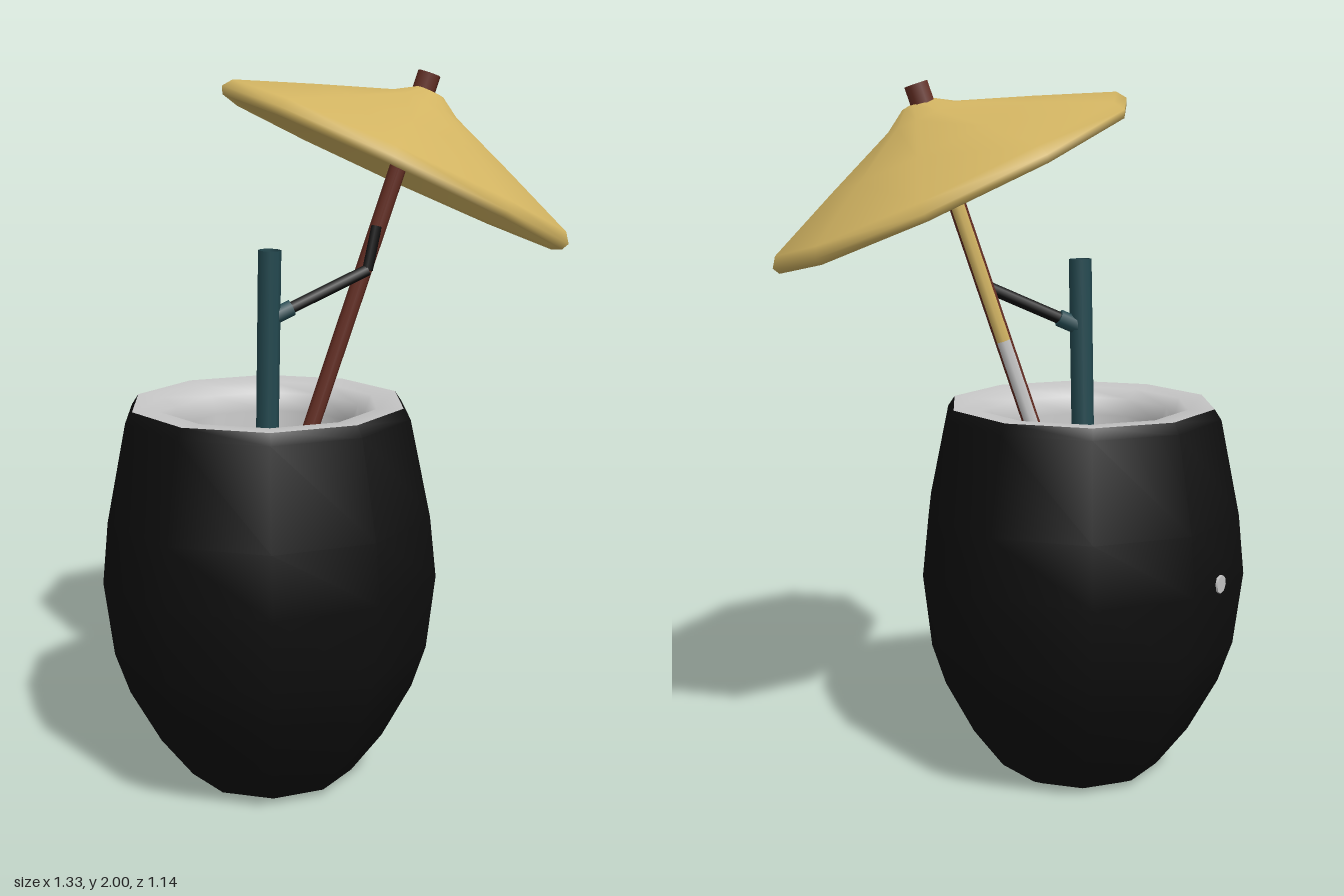
import * as THREE from 'three';

const mat = (name, color, side = THREE.FrontSide) => {
  const m = new THREE.MeshStandardMaterial({ color, side });
  m.name = name;
  return m;
};
const V = (x, y, z) => new THREE.Vector3(x, y, z);
const UP = V(0, 1, 0);
const DEG = Math.PI / 180;

export function createModel() {
  const husk = mat('black husk', 0x0e0e0e);
  const flesh = mat('pale flesh', 0xc6c6c6, THREE.DoubleSide);
  const paper = mat('yellow paper', 0xd2b462, THREE.DoubleSide);
  const wood = mat('red brown wood', 0x662f24, THREE.DoubleSide);
  const teal = mat('dark teal', 0x244a51, THREE.DoubleSide);

  const model = new THREE.Group();
  model.name = 'coconutDrink';

  const add = (parent, name, geometry, material) => {
    const mesh = new THREE.Mesh(geometry, material);
    mesh.name = name;
    parent.add(mesh);
    return mesh;
  };
  const lathe = (points, phase) => new THREE.LatheGeometry(
    points.map(([r, y]) => new THREE.Vector2(r, y)), 10, phase * DEG, Math.PI * 2);
  // Straight rod between two points; start and sweep allow a partial wall
  const rod = (name, a, b, r, material, sides = 8, open = false, start = 0, sweep = Math.PI * 2) => {
    const g = new THREE.CylinderGeometry(r, r, a.distanceTo(b), sides, 1, open, start, sweep);
    const mesh = add(model, name, g, material);
    mesh.position.copy(a).add(b).multiplyScalar(0.5);
    mesh.quaternion.setFromUnitVectors(UP, b.clone().sub(a).normalize());
    return mesh;
  };

  // Coconut: ten-sided husk, pale rim and hollow
  const coconut = new THREE.Group();
  coconut.name = 'coconut';
  coconut.position.set(-0.19, 0, -0.1);
  model.add(coconut);
  add(coconut, 'husk', lathe([
    [0, 0], [0.2, 0], [0.24, 0.02], [0.33, 0.14], [0.415, 0.3], [0.455, 0.42],
    [0.48, 0.63], [0.462, 0.8], [0.405, 1.07], [0.385, 1.1],
  ], -10), husk);
  add(coconut, 'fleshRim', lathe([
    [0.385, 1.1], [0.31, 1.095], [0.27, 1.07], [0.25, 1.02], [0.255, 0.94],
    [0.23, 0.84], [0.15, 0.79], [0, 0.78],
  ], -10), flesh);

  // Small pale spot on the back face of the husk
  const a = -98 * DEG;
  const out = V(Math.cos(a), 0, Math.sin(a));
  const spot = add(coconut, 'paleSpot', new THREE.CylinderGeometry(0.026, 0.026, 0.008, 8), flesh);
  spot.position.copy(out).multiplyScalar(0.458).setY(0.635);
  spot.quaternion.setFromUnitVectors(UP, out);

  // Umbrella canopy, tilted a little more than its stick
  const canopy = add(model, 'umbrellaCanopy', lathe([
    [0.02, 0.19], [0.3, 0.075], [0.5, -0.008], [0.525, -0.015], [0.535, 0.005],
    [0.515, 0.032], [0.3, 0.118], [0.1, 0.195], [0.04, 0.232], [0, 0.236],
  ], 90), paper);
  canopy.position.set(0.157, 1.725, 0.07);
  canopy.quaternion.setFromUnitVectors(UP, V(0.36, 1, 0.29).normalize());

  // Stick: wood with one side striped pale below and yellow above
  const at = (y) => V(0.02 + (y - 1.1) * 0.25, y, -0.08 + (y - 1.1) * 0.225);
  const wide = 100 * DEG;
  const first = 135 * DEG - wide / 2;
  rod('stickWood', at(0.78), at(1.93), 0.024, wood, 6, true, first + wide, Math.PI * 2 - wide);
  rod('stickPaleStripe', at(0.78), at(1.3), 0.024, flesh, 2, true, first, wide);
  rod('stickYellowStripe', at(1.3), at(1.93), 0.024, paper, 2, true, first, wide);
  rod('stickTip', at(1.89), at(1.987), 0.033, wood, 7);

  // Straw: open tube with a dark bore
  const strawTop = V(-0.157, 1.515, -0.118);
  const strawBase = V(-0.153, 0.78, -0.145);
  rod('straw', strawBase, strawTop, 0.032, teal, 8, true);
  rod('strawBore', strawBase, V(-0.157, 1.49, -0.119), 0.029, husk, 8);

  // Side twig reaching from the straw to the stick
  const joint = V(-0.15, 1.325, -0.125);
  const elbow = V(0.085, 1.45, 0.03);
  rod('twigBase', joint, joint.clone().lerp(elbow, 0.22), 0.024, teal, 6);
  rod('twig', joint, elbow, 0.017, husk, 6);
  rod('twigEnd', elbow, V(0.118, 1.57, 0.035), 0.016, husk, 6);

  // Pale lumps floating in the hollow
  const lumps = [[-0.28, 0.82, -0.18, 0.09], [-0.12, 0.81, -0.22, 0.08], [-0.2, 0.81, 0, 0.09]];
  for (const [x, y, z, r] of lumps) {
    const lump = add(model, 'fleshLump', new THREE.SphereGeometry(r, 8, 5), flesh);
    lump.position.set(x, y, z);
    lump.scale.y = 0.6;
  }
  rod('floatingPiece', V(-0.27, 0.86, -0.23), V(-0.22, 0.9, -0.18), 0.022, flesh, 6);

  return model;
}
